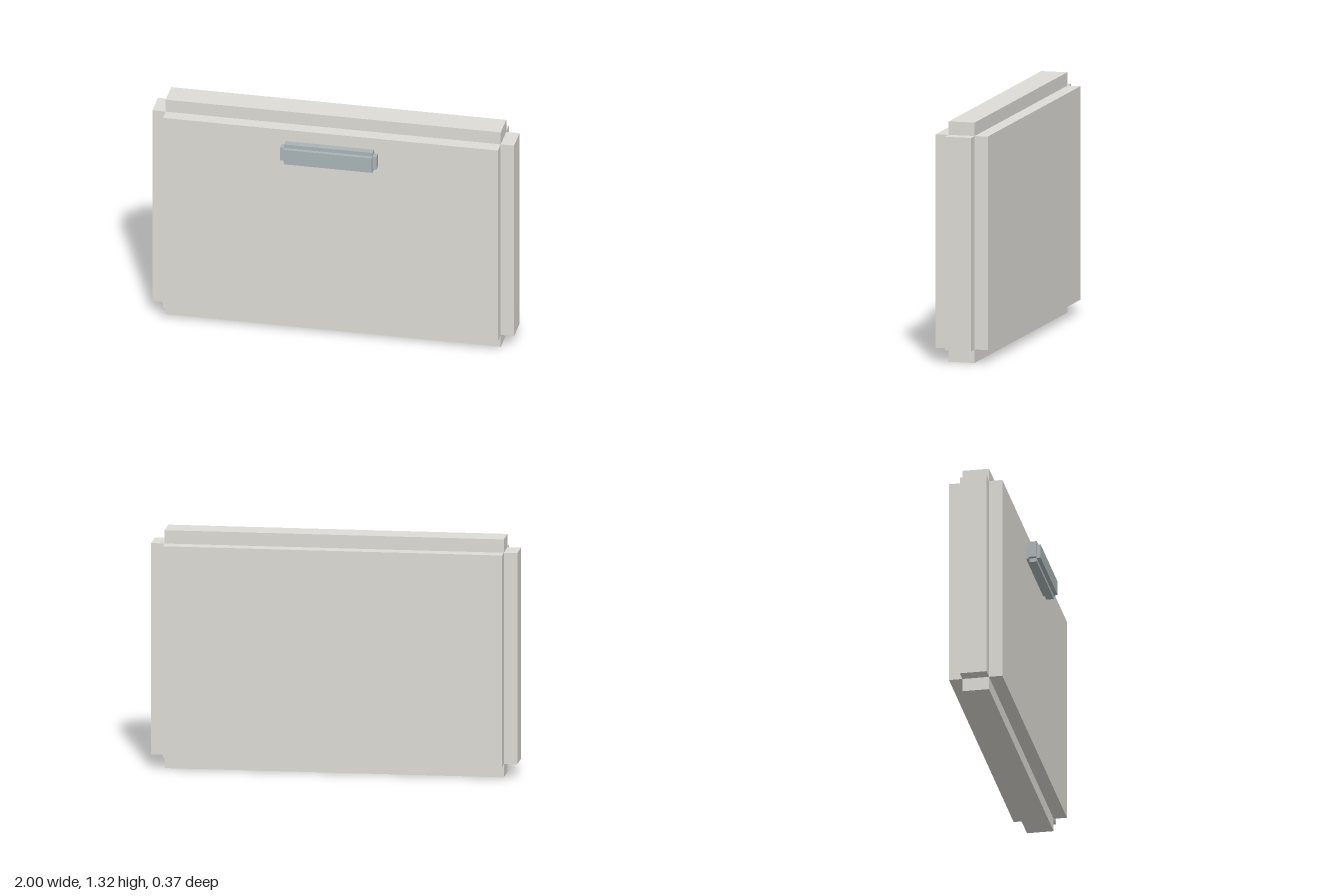
import * as THREE from 'three';

const bodyMaterial = new THREE.MeshStandardMaterial({ color: 0xdedcd6 });
const handleMaterial = new THREE.MeshStandardMaterial({ color: 0xaab4b7 });

// A block whose six faces stand proud of its notched edges by the given step
function steppedBlock(name, width, height, depth, step, material) {
  const group = new THREE.Group();
  group.name = name;
  const w = width - 2 * step, h = height - 2 * step, d = depth - 2 * step;

  const add = (part, size, x = 0, y = 0) => {
    const mesh = new THREE.Mesh(new THREE.BoxGeometry(...size), material);
    mesh.name = name + part;
    mesh.position.set(x, y, 0);
    group.add(mesh);
  };

  // Full-depth core carrying the front and back faces
  add('Core', [w, h, depth]);
  // Narrower rails along the sides, top and bottom
  for (const s of [-1, 1]) {
    add(s > 0 ? 'LeftRail' : 'RightRail', [step, h, d], s * (w + step) / 2, 0);
    add(s > 0 ? 'TopRail' : 'BottomRail', [w, step, d], 0, s * (h + step) / 2);
  }
  return group;
}

export function createModel() {
  const model = new THREE.Group();
  model.name = 'drawerFront';

  // Main panel
  const panel = steppedBlock('panel', 2, 1.317, 0.294, 0.0735, bodyMaterial);
  panel.position.set(0, 0.6585, -0.04);
  model.add(panel);

  // Handle near the top, set slightly into the front face
  const handle = steppedBlock('handle', 0.532, 0.122, 0.084, 0.0215, handleMaterial);
  handle.position.set(0, 1.124, 0.145);
  model.add(handle);

  return model;
}
